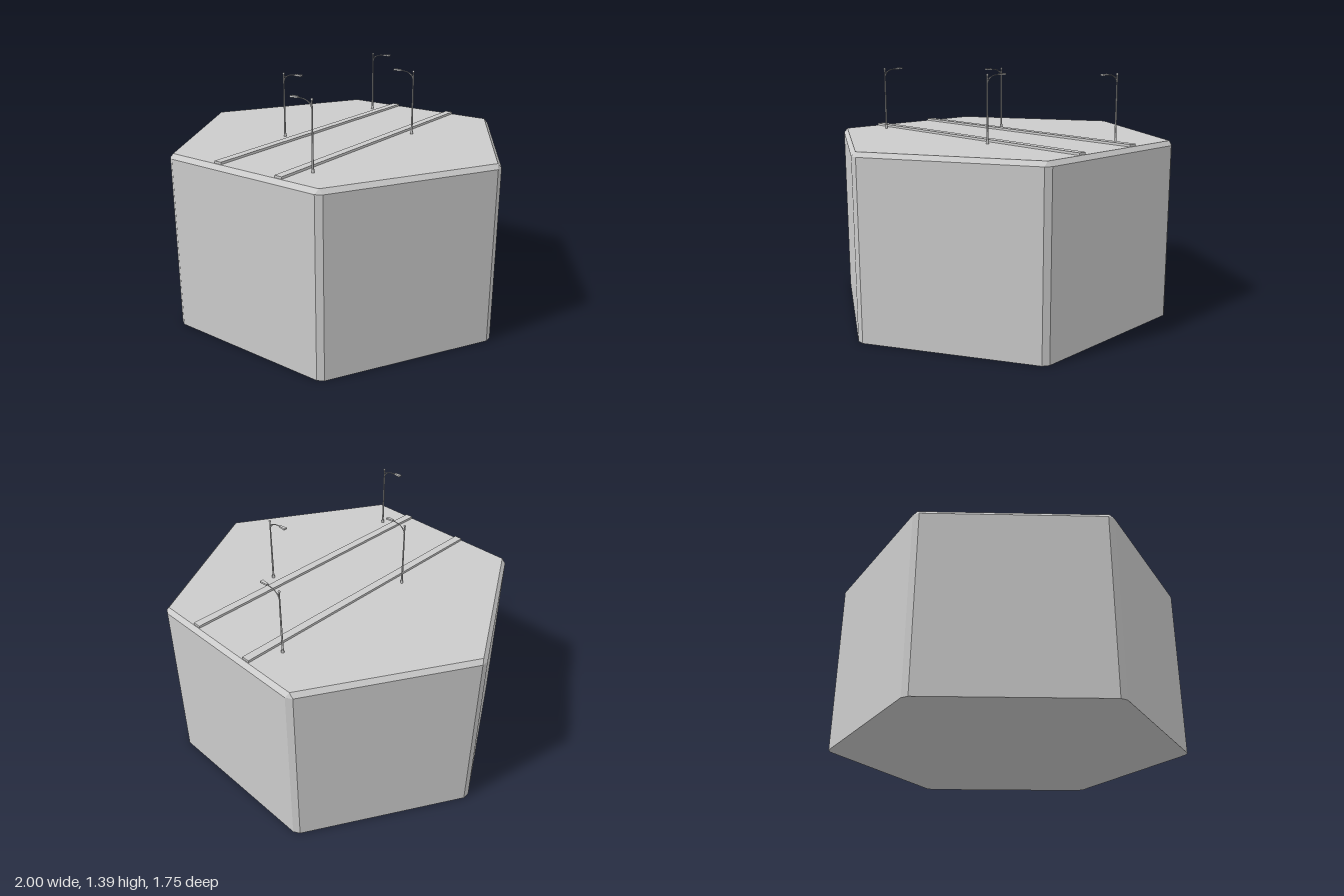
import * as THREE from 'three';

const material = new THREE.MeshStandardMaterial({ color: 0xcccccc, flatShading: true, side: THREE.DoubleSide });
const smooth = new THREE.MeshStandardMaterial({ color: 0xcccccc });
const TOP = 1.015;

function add(parent, name, geometry, x = 0, y = 0, z = 0, mat = smooth) {
  const mesh = new THREE.Mesh(geometry, mat);
  mesh.name = name;
  mesh.position.set(x, y, z);
  parent.add(mesh);
  return mesh;
}

// Hexagonal block: chamfered upright corners and a bevelled upper rim
function blockGeometry() {
  const outer = [], inner = [];
  for (let i = 0; i < 6; i++) {
    const a = (i * Math.PI) / 3, c = Math.cos(a), s = Math.sin(a);
    for (const t of [-0.02, 0.02]) outer.push([c - s * t, s + c * t]);
    inner.push([c * 0.987, s * 0.987]);
  }
  // keep the flat-to-flat depth at 0.875
  const at = (p, y) => [p[0], y, p[1]];
  const pos = [];
  const tri = (...pts) => pts.forEach((p) => pos.push(...p));
  const quad = (a, b, c, d) => { tri(a, b, c); tri(a, c, d); };
  for (let i = 0; i < 12; i++) {
    const a = outer[i], b = outer[(i + 1) % 12];
    const k = inner[i >> 1], n = inner[((i >> 1) + 1) % 6];
    quad(at(a, 0), at(a, 0.99), at(b, 0.99), at(b, 0));
    tri([0, 0, 0], at(a, 0), at(b, 0));
    if (i % 2 === 0) {
      tri(at(a, 0.99), at(k, TOP), at(b, 0.99));
    } else {
      quad(at(a, 0.99), at(k, TOP), at(n, TOP), at(b, 0.99));
      tri([0, TOP, 0], at(n, TOP), at(k, TOP));
    }
  }
  const g = new THREE.BufferGeometry();
  g.setAttribute('position', new THREE.Float32BufferAttribute(pos, 3));
  g.computeVertexNormals();
  return g;
}

// Street lamp with its arm reaching toward +x
function createLamp() {
  const lamp = new THREE.Group();
  lamp.name = 'streetLamp';
  const v = (x, y) => new THREE.Vector3(x, y, 0);
  add(lamp, 'lampBase', new THREE.CylinderGeometry(0.007, 0.008, 0.02, 12), 0, 0.01, 0);
  add(lamp, 'lampPole', new THREE.CylinderGeometry(0.0035, 0.0055, 0.355, 12), 0, 0.185, 0);
  add(lamp, 'lampFinial', new THREE.SphereGeometry(0.0065, 12, 8), 0, 0.366, 0);

  // Curved arm and the thin tie above it
  const arm = new THREE.CatmullRomCurve3([v(0, 0.318), v(0.012, 0.342), v(0.04, 0.36), v(0.09, 0.366)]);
  add(lamp, 'lampArm', new THREE.TubeGeometry(arm, 16, 0.0025, 6));
  const tie = new THREE.LineCurve3(v(0, 0.344), v(0.04, 0.361));
  add(lamp, 'armTie', new THREE.TubeGeometry(tie, 1, 0.0015, 6));

  // Flat head, narrower where it meets the arm
  const head = new THREE.Shape();
  head.moveTo(0, -0.006);
  head.lineTo(0.044, -0.01);
  head.lineTo(0.044, 0.01);
  head.lineTo(0, 0.006);
  head.closePath();
  const g = new THREE.ExtrudeGeometry(head, { depth: 0.009, bevelEnabled: false });
  g.rotateX(-Math.PI / 2);
  add(lamp, 'lampHead', g, 0.085, 0.362, 0, material);
  return lamp;
}

export function createModel() {
  const model = new THREE.Group();
  model.name = 'hexagonalRoadTile';
  add(model, 'hexBlock', blockGeometry(), 0, 0, 0, material);

  // Two kerbs running front to back
  for (const [name, x] of [['rightKerb', -0.163], ['leftKerb', 0.242]]) {
    add(model, name, new THREE.BoxGeometry(0.046, 0.028, 1.702), x, 1.014, 0, material);
  }

  // Lamps staggered along both sides, facing the middle
  for (const [x, z] of [[-0.242, -0.675], [-0.242, 0.228], [0.32, -0.253], [0.32, 0.68]]) {
    const lamp = createLamp();
    lamp.position.set(x, TOP, z);
    if (x > 0) lamp.rotation.y = Math.PI;
    model.add(lamp);
  }
  return model;
}
